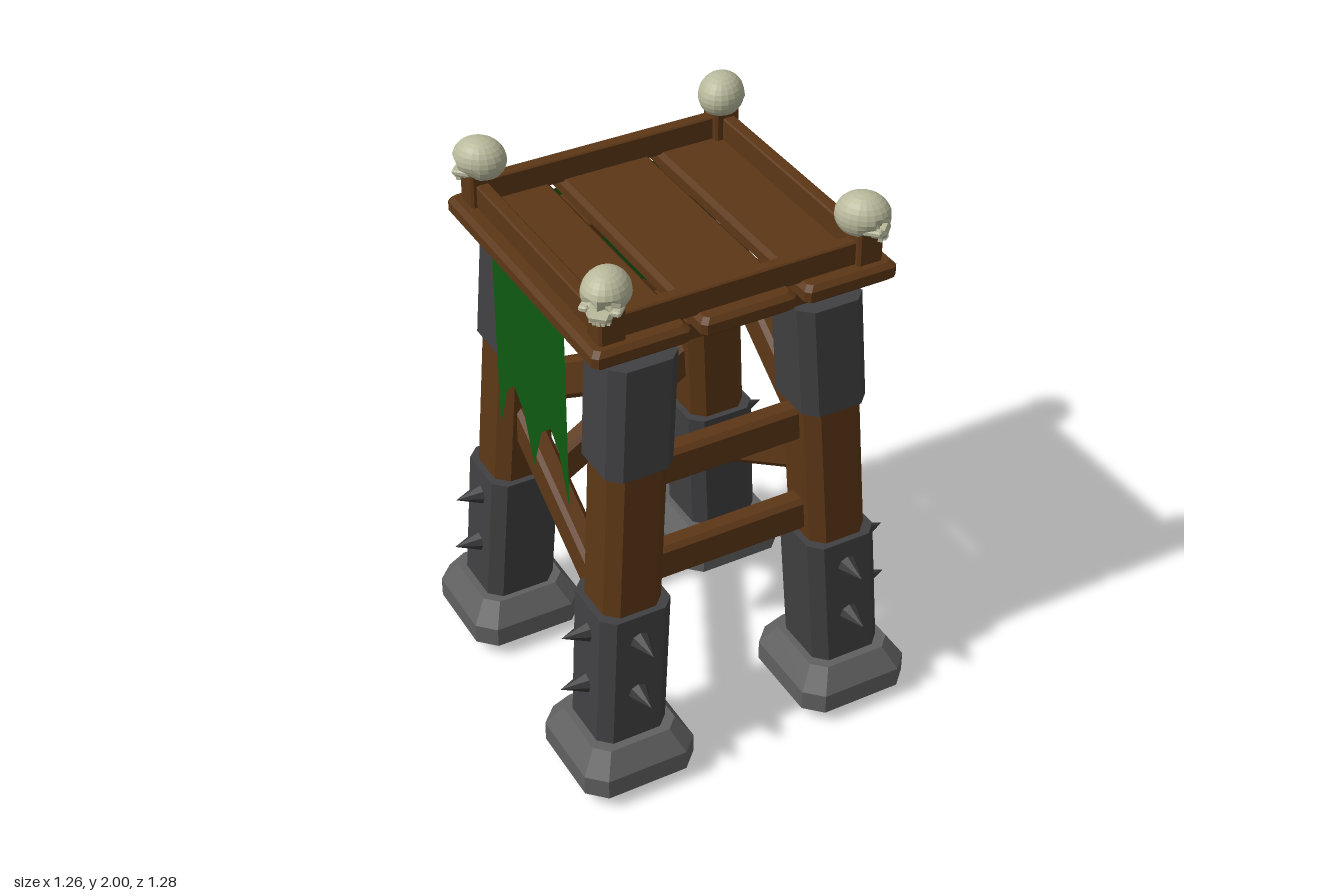
import * as THREE from 'three';

const mat = (color, side = THREE.FrontSide) => new THREE.MeshStandardMaterial({ color, side, flatShading: true });
const WOOD = mat(0x5c3716), METAL = mat(0x404042), SPIKE = mat(0x38383a), STONE = mat(0x606060);
const BONE = mat(0xb9b99c), CLOTH = mat(0x0f5a12, THREE.DoubleSide);

// Lofts cut-cornered rectangles [y, centreX, centreZ, halfX, halfZ, cut] from bottom to top
function loft(rings) {
  const pos = [], idx = [];
  for (const [y, x, z, a, b, k] of rings) {
    const c = a - k, d = b - k;
    for (const [px, pz] of [[a, -d], [a, d], [c, b], [-c, b], [-a, d], [-a, -d], [-c, -b], [c, -b]]) pos.push(x + px, y, z + pz);
  }
  for (let i = 0; i < rings.length - 1; i++) {
    for (let j = 0; j < 8; j++) {
      const p = i * 8 + j, q = i * 8 + (j + 1) % 8;
      idx.push(p, p + 8, q + 8, p, q + 8, q);
    }
  }
  const top = (rings.length - 1) * 8;
  for (let j = 1; j < 7; j++) idx.push(0, j, j + 1, top, top + j + 1, top + j);
  const g = new THREE.BufferGeometry();
  g.setAttribute('position', new THREE.Float32BufferAttribute(pos, 3));
  g.setIndex(idx);
  const flat = g.toNonIndexed();
  flat.computeVertexNormals();
  return flat;
}

function add(parent, name, geometry, material) {
  const m = new THREE.Mesh(geometry, material);
  m.name = name;
  parent.add(m);
  return m;
}

// Box with bevelled edges, given by its centre and half sizes
function bevelBox(x, y, z, hx, hy, hz, e) {
  return loft([
    [y - hy, x, z, hx - e, hz - e, e], [y - hy + e, x, z, hx, hz, e],
    [y + hy - e, x, z, hx, hz, e], [y + hy, x, z, hx - e, hz - e, e],
  ]);
}

// Timber between two points in a side's own plane
function brace(parent, name, x0, y0, x1, y1, z) {
  const dx = x1 - x0, dy = y1 - y0, h = Math.hypot(dx, dy) / 2;
  const m = add(parent, name, loft([[-h, 0, 0, 0.066, 0.04, 0.016], [h, 0, 0, 0.066, 0.04, 0.016]]), WOOD);
  m.position.set((x0 + x1) / 2, (y0 + y1) / 2, z);
  m.rotation.z = Math.atan2(dy, dx) - Math.PI / 2;
}

const legX = y => 0.435 - 0.0637 * y;
const legZ = y => 0.432 - 0.037 * y;

function makeLeg(sx, sz) {
  const leg = new THREE.Group();
  leg.name = 'leg';
  const section = (y, h) => [y, sx * legX(y), sz * legZ(y), h, h, 0.042];
  const fx = sx * 0.423, fz = sz * 0.428;
  add(leg, 'foot', loft([
    [0, fx, fz, 0.15, 0.15, 0.045], [0.055, fx, fz, 0.207, 0.207, 0.06],
    [0.13, fx, fz, 0.207, 0.207, 0.06], [0.21, fx, fz, 0.155, 0.155, 0.045],
  ]), STONE);
  add(leg, 'legPost', loft([section(0.6, 0.107), section(1.64, 0.107)]), WOOD);
  add(leg, 'lowerCuff', loft([section(0.15, 0.13), section(0.71, 0.13)]), METAL);
  add(leg, 'upperCuff', loft([section(1.25, 0.121), section(1.65, 0.121)]), METAL);
  // Spikes on the two outer faces
  for (const y of [0.395, 0.608]) {
    for (const alongX of [true, false]) {
      const s = add(leg, 'spike', new THREE.ConeGeometry(0.047, 0.12, 8), SPIKE);
      const x = legX(y), z = legZ(y), out = 0.172;
      s.position.set(sx * (x + (alongX ? out - 0.13 + 0.12 : 0)), y, sz * (z + (alongX ? 0 : out - 0.01)));
      if (alongX) s.rotation.z = -sx * (Math.PI / 2 - 0.06);
      else s.rotation.x = sz * (Math.PI / 2 - 0.04);
    }
  }
  return leg;
}

function makeSkull() {
  const skull = new THREE.Group();
  skull.name = 'skull';
  // Cranium with eye sockets and nose pressed in
  const g = new THREE.SphereGeometry(1, 20, 14), p = g.attributes.position, v = new THREE.Vector3();
  const dents = [[-0.4, -0.2, 0.89, 0.3], [0.4, -0.2, 0.89, 0.3], [0, -0.5, 0.86, 0.17]];
  for (let i = 0; i < p.count; i++) {
    v.fromBufferAttribute(p, i);
    let r = 1;
    for (const [x, y, z, w] of dents) if (Math.hypot(v.x - x, v.y - y, v.z - z) < w) r = 0.74;
    const narrow = v.y < 0 && v.z > 0 ? 1 + 0.2 * v.y : 1;
    p.setXYZ(i, v.x * 0.077 * r * narrow, Math.max(v.y * 0.076 * r, -0.05), v.z * 0.09 * r + 0.004);
  }
  add(skull, 'cranium', g.toNonIndexed(), BONE).geometry.computeVertexNormals();
  add(skull, 'upperJaw', loft([
    [-0.06, 0, 0.05, 0.034, 0.036, 0.012], [-0.045, 0, 0.05, 0.04, 0.04, 0.014], [-0.028, 0, 0.045, 0.046, 0.036, 0.014],
  ]), BONE);
  for (const s of [-1, 1]) add(skull, 'cheekbone', bevelBox(s * 0.05, -0.03, 0.047, 0.015, 0.01, 0.03, 0.005), BONE);
  for (let i = -2; i <= 2; i++) {
    add(skull, 'tooth', new THREE.BoxGeometry(0.011, 0.02, 0.014), BONE).position.set(i * 0.0135, -0.062, 0.08 - 0.003 * i * i);
  }
  return skull;
}

function makeBanner() {
  const s = new THREE.Shape();
  s.moveTo(-0.255, 1.705);
  for (const [x, y] of [[-0.255, 1], [-0.19, 1.185], [-0.135, 1.24], [-0.065, 1.18], [0, 1],
    [0.065, 1.18], [0.135, 1.24], [0.19, 1.185], [0.255, 1], [0.255, 1.705]]) s.lineTo(x, y);
  return new THREE.ShapeGeometry(s);
}

export function createModel() {
  const tower = new THREE.Group();
  tower.name = 'watchTower';

  for (const sx of [-1, 1]) {
    for (const sz of [-1, 1]) {
      tower.add(makeLeg(sx, sz));
      // Corner post topped by a skull looking outwards
      add(tower, 'cornerPost', bevelBox(sx * 0.45, 1.83, sz * 0.443, 0.045, 0.07, 0.045, 0.008), WOOD);
      const skull = makeSkull();
      skull.position.set(sx * 0.442, 1.924, sz * 0.434);
      skull.rotation.y = Math.atan2(sx, sz);
      tower.add(skull);
    }
  }

  // Platform: bearers, planks and low rails
  for (const s of [-1, 1]) {
    add(tower, 'bearer', bevelBox(0, 1.68, s * 0.325, 0.43, 0.035, 0.105, 0.006), WOOD);
    add(tower, 'endRail', bevelBox(0, 1.805, s * 0.445, 0.43, 0.045, 0.023, 0.005), WOOD);
    add(tower, 'sideRail', bevelBox(s * 0.455, 1.805, 0, 0.023, 0.045, 0.43, 0.005), WOOD);
  }
  for (const x of [-0.366, 0.002, 0.366]) {
    add(tower, 'plank', bevelBox(x, 1.737, 0, 0.167, 0.033, 0.523, 0.016), WOOD);
  }

  // Front: two level braces like a ladder
  brace(tower, 'frontBrace', -0.33, 0.797, 0.33, 0.797, 0.4);
  brace(tower, 'frontBrace', -0.31, 1.17, 0.31, 1.17, 0.385);

  // Other three sides: crossing diagonals and a ragged banner
  const sides = [['right', Math.PI / 2, 0.385, 0.355, 0.499], ['back', Math.PI, 0.4, 0.382, 0.485], ['left', -Math.PI / 2, 0.385, 0.355, 0.499]];
  for (const [name, angle, low, high, cloth] of sides) {
    const side = new THREE.Group();
    side.name = name + 'Side';
    side.rotation.y = angle;
    brace(side, 'lowerDiagonal', -0.34, 0.97, 0.34, 0.555, low);
    brace(side, 'upperDiagonal', -0.33, 1.08, 0.31, 1.53, high);
    add(side, 'banner', makeBanner(), CLOTH).position.z = cloth;
    tower.add(side);
  }
  return tower;
}
